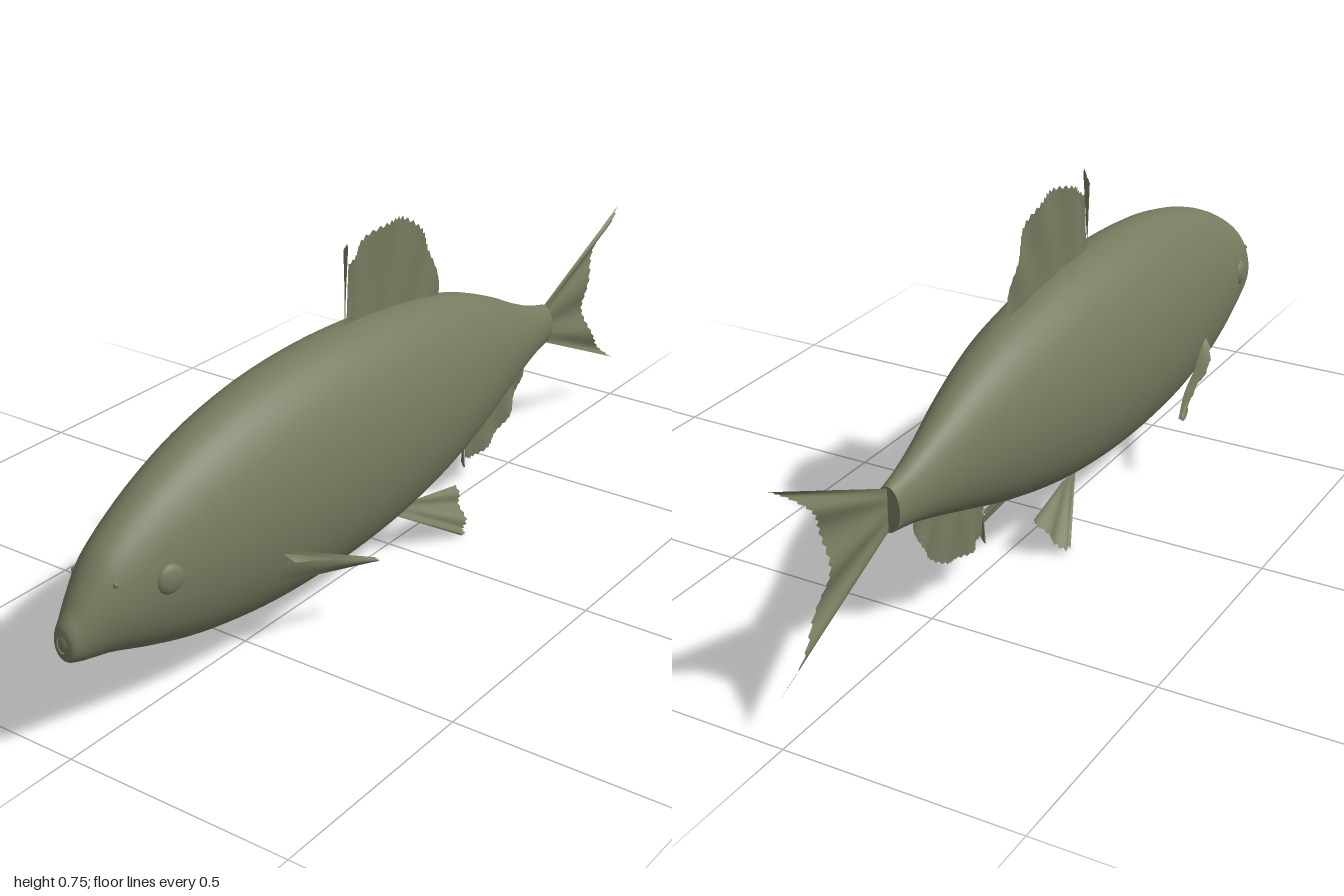
import * as THREE from 'three';

// Body stations: x, top, bottom, half width
const STATIONS = [
  [-1, 0.262, 0.228, 0.012], [-0.995, 0.28, 0.21, 0.024], [-0.975, 0.305, 0.2, 0.034],
  [-0.945, 0.345, 0.193, 0.047], [-0.9, 0.393, 0.183, 0.064], [-0.8, 0.455, 0.148, 0.087],
  [-0.7, 0.5, 0.118, 0.106], [-0.6, 0.533, 0.098, 0.12], [-0.45, 0.564, 0.08, 0.134],
  [-0.25, 0.578, 0.076, 0.141], [-0.05, 0.571, 0.09, 0.136], [0.1, 0.552, 0.116, 0.125],
  [0.25, 0.521, 0.154, 0.104], [0.4, 0.464, 0.204, 0.074], [0.5, 0.416, 0.237, 0.051],
  [0.58, 0.384, 0.26, 0.036], [0.64, 0.368, 0.27, 0.027],
];

const vec = (p) => new THREE.Vector3(p[0], p[1], p[2] ?? 0);
const curve = (pts) => new THREE.CatmullRomCurve3(pts.map(vec));

// Surface from a grid of points; wrap joins the last column to the first
function gridGeometry(rows, cols, wrap, at) {
  const pos = [], idx = [];
  for (let i = 0; i < rows; i++) for (let j = 0; j < cols; j++) pos.push(...at(i, j));
  for (let i = 0; i < rows - 1; i++) {
    for (let j = 0; j < (wrap ? cols : cols - 1); j++) {
      const k = (j + 1) % cols;
      const a = i * cols + j, b = a + cols, c = i * cols + k, d = c + cols;
      idx.push(a, c, b, b, c, d);
    }
  }
  const g = new THREE.BufferGeometry();
  g.setAttribute('position', new THREE.Float32BufferAttribute(pos, 3));
  g.setIndex(idx);
  g.computeVertexNormals();
  return g;
}

// Oval loft through the stations
function bodyGeometry() {
  const mid = curve(STATIONS.map(([x, t, b]) => [x, (t + b) / 2, (t - b) / 2]));
  const wide = curve(STATIONS.map(([x, , , w]) => [x, w, 0]));
  const rows = 97, cols = 48;
  return gridGeometry(rows, cols, true, (i, j) => {
    const p = mid.getPoint(i / (rows - 1)), w = wide.getPoint(i / (rows - 1)).y;
    const a = (j / cols) * Math.PI * 2;
    return [p.x, p.y + p.z * Math.cos(a), w * Math.sin(a)];
  });
}

// Rayed membrane between a base line and an outer edge, rippled in z with a ragged rim
function finGeometry(base, edge, { rays = 24, ripple = 0.006, waves = 4, notch = 0.04 } = {}) {
  const b = curve(base), e = curve(edge), cols = rays * 2 + 1, rows = 9;
  return gridGeometry(rows, cols, false, (i, j) => {
    const u = j / (cols - 1), v = i / (rows - 1);
    const reach = v * (1 - (j % 2 ? notch * v * v : 0));
    const p = b.getPoint(u).lerp(e.getPoint(u), reach);
    p.z += ripple * Math.sin(u * waves * Math.PI * 2) * v;
    return p.toArray();
  });
}

export function createModel() {
  const fish = new THREE.Group();
  fish.name = 'fish';
  const skin = new THREE.MeshStandardMaterial({ color: 0x787a5f });
  skin.name = 'olive skin';
  const finSkin = skin;
  finSkin.side = THREE.DoubleSide;

  const add = (name, geometry) => {
    const mesh = new THREE.Mesh(geometry, skin);
    mesh.name = name;
    fish.add(mesh);
    return mesh;
  };

  // Body with closed snout and tail stump
  add('body', bodyGeometry());
  const stump = add('tailStump', new THREE.CircleGeometry(1, 48));
  stump.scale.set(0.027, 0.049, 1);
  stump.rotation.y = Math.PI / 2;
  stump.position.set(0.64, 0.319, 0);
  const snout = add('snoutTip', new THREE.SphereGeometry(1, 24, 12));
  snout.scale.set(0.006, 0.017, 0.012);
  snout.position.set(-0.996, 0.245, 0);

  // Forked tail
  add('tailFin', finGeometry(
    [[0.635, 0.362], [0.635, 0.32], [0.635, 0.275]],
    [[0.992, 0.522], [0.92, 0.468], [0.865, 0.405], [0.84, 0.325], [0.855, 0.255], [0.91, 0.18], [0.998, 0.11]],
    { rays: 22, ripple: 0.007, waves: 3 }));

  // Dorsal fin and its leading spine
  add('dorsalFin', finGeometry(
    [[-0.15, 0.56], [0, 0.55], [0.185, 0.515]],
    [[-0.14, 0.705], [-0.1, 0.735], [-0.02, 0.757], [0.06, 0.75], [0.12, 0.705], [0.165, 0.63], [0.187, 0.535]],
    { rays: 26, waves: 3.5 }));
  add('dorsalSpine', finGeometry(
    [[-0.158, 0.55], [-0.15, 0.55]],
    [[-0.16, 0.755, 0.012], [-0.138, 0.735, -0.012]],
    { rays: 4, ripple: 0.003, waves: 2 }));

  // Anal fin and its leading spine
  add('analFin', finGeometry(
    [[0.295, 0.18], [0.42, 0.225], [0.555, 0.265]],
    [[0.305, 0.095], [0.34, 0.08], [0.41, 0.09], [0.48, 0.123], [0.53, 0.18], [0.555, 0.25]],
    { rays: 22, waves: 3.5 }));
  add('analSpine', finGeometry(
    [[0.292, 0.18], [0.3, 0.18]],
    [[0.288, 0.078, 0.009], [0.306, 0.08, -0.009]],
    { rays: 4, ripple: 0.003, waves: 2 }));

  // Paired parts
  for (const [side, s] of [['left', 1], ['right', -1]]) {
    const flip = (pts) => pts.map(([x, y, z]) => [x, y, z * s]);

    add(side + 'PectoralFin', finGeometry(
      flip([[-0.525, 0.262, 0.118], [-0.528, 0.22, 0.112], [-0.525, 0.18, 0.1]]),
      flip([[-0.29, 0.157, 0.172], [-0.285, 0.15, 0.18], [-0.295, 0.145, 0.165]]),
      { rays: 8, ripple: 0, notch: 0.02 }));
    // Outward fold of the pectoral membrane
    add(side + 'PectoralFold', finGeometry(
      flip([[-0.525, 0.255, 0.12], [-0.45, 0.22, 0.135], [-0.36, 0.18, 0.145], [-0.29, 0.15, 0.165]]),
      flip([[-0.51, 0.235, 0.142], [-0.44, 0.217, 0.168], [-0.37, 0.185, 0.165], [-0.29, 0.152, 0.181]]),
      { rays: 10, ripple: 0.002, notch: 0.05 }));

    add(side + 'PelvicFin', finGeometry(
      flip([[-0.04, 0.105, 0.035], [0, 0.106, 0.04], [0.04, 0.112, 0.045]]),
      flip([[0.125, 0.005, 0.112], [0.148, 0.012, 0.108], [0.17, 0.05, 0.082], [0.185, 0.09, 0.055]]),
      { rays: 12, ripple: 0.006, waves: 2.5 }));

    const eye = add(side + 'Eye', new THREE.SphereGeometry(1, 24, 16));
    eye.scale.set(0.03, 0.03, 0.012);
    eye.rotation.y = -0.2 * s;
    eye.position.set(-0.802, 0.315, 0.083 * s);

    const nostril = add(side + 'Nostril', new THREE.SphereGeometry(0.006, 10, 8));
    nostril.position.set(-0.907, 0.34, 0.05 * s);
  }
  return fish;
}
